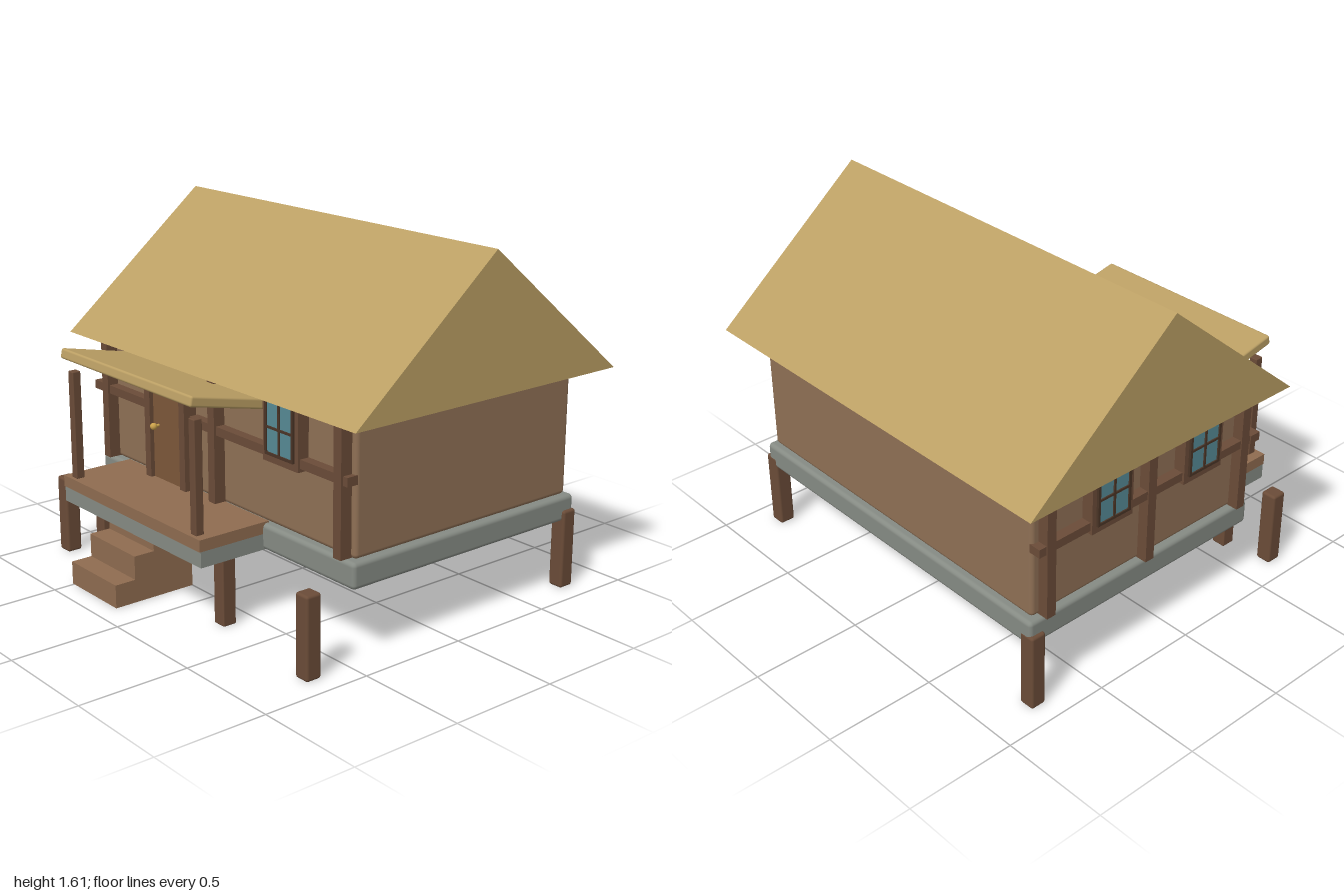
import * as THREE from 'three';
import { RoundedBoxGeometry } from 'three/addons/geometries/RoundedBoxGeometry.js';

const mat = (color) => new THREE.MeshStandardMaterial({ color });

export function createModel() {
  const model = new THREE.Group();
  const M = {
    thatch: mat(0xbb9f64), wall: mat(0x8f7055), timber: mat(0x6b4c38), plank: mat(0x8f6c50),
    stone: mat(0x868b84), door: mat(0x7d5839), glass: mat(0x568a95), sash: mat(0x4a3426), brass: mat(0xc9a04a),
  };

  // Box given by its extents; r > 0 rounds the edges
  function box(name, material, [x0, x1], [y0, y1], [z0, z1], r = 0, parent = model) {
    const w = x1 - x0, h = y1 - y0, d = z1 - z0;
    const geo = r ? new RoundedBoxGeometry(w, h, d, 2, r) : new THREE.BoxGeometry(w, h, d);
    const mesh = new THREE.Mesh(geo, material);
    mesh.name = name;
    mesh.position.set((x0 + x1) / 2, (y0 + y1) / 2, (z0 + z1) / 2);
    parent.add(mesh);
    return mesh;
  }
  const around = (c, w) => [c - w / 2, c + w / 2];

  // House body
  box('foundation', M.stone, [-0.895, 0.89], [0.31, 0.425], [-0.8, 0.475], 0.02);
  box('walls', M.wall, [-0.87, 0.865], [0.425, 1.005], [-0.77, 0.445], 0.02);

  // Gabled roof, a closed prism along x
  const gable = new THREE.Shape([
    new THREE.Vector2(-0.565, 1.003), new THREE.Vector2(0.893, 1.003), new THREE.Vector2(0.16, 1.605),
  ]);
  const roofGeo = new THREE.ExtrudeGeometry(gable, { depth: 1.995, bevelEnabled: false });
  roofGeo.rotateY(Math.PI / 2);
  const roof = new THREE.Mesh(roofGeo, M.thatch);
  roof.name = 'roof';
  roof.position.x = -1;
  model.add(roof);

  // Corner stilts
  for (const x of [-0.873, 0.867])
    for (const z of [0.685, -0.765])
      box('stilt', M.timber, around(x, 0.074), [0, 0.36], around(z, 0.074), 0.012);

  // Porch deck, legs, posts and sloping roof
  box('porchBase', M.stone, [-0.715, 0.32], [0.31, 0.38], [0.44, 0.795]);
  box('porchDeck', M.plank, [-0.715, 0.32], [0.38, 0.432], [0.445, 0.8]);
  for (const x of [-0.652, 0.254]) {
    box('porchLeg', M.timber, around(x, 0.066), [0, 0.31], around(0.628, 0.066), 0.006);
    box('porchPost', M.timber, around(x, 0.04), [0.43, 0.925], around(0.763, 0.04), 0.004);
  }
  const porchRoof = box('porchRoof', M.thatch, [-0.685, 0.29], around(0.968, 0.046), around(0.62, 0.385), 0.01);
  porchRoof.rotation.x = -0.21;

  // Steps
  [[0.105, 0.9], [0.212, 0.8], [0.312, 0.7]].forEach(([h, front], i) =>
    box('step', M.plank, [-0.51, -0.16], [i ? [0, 0.105, 0.212][i] : 0, h], [0.5, front]));

  // Front timber framing
  for (const x of [-0.82, -0.003, 0.817])
    box('frontPost', M.timber, around(x, 0.046), [0.43, 1.003], [0.435, 0.5]);
  for (const span of [[-0.92, -0.49], [-0.17, 0.345], [0.58, 0.865]])
    box('frontRail', M.timber, span, [0.738, 0.777], [0.435, 0.49]);

  // Left-hand gable framing
  for (const z of [-0.71, -0.16, 0.4])
    box('sidePost', M.timber, [-0.92, -0.86], [0.43, 1.003], around(z, 0.046));
  for (const span of [[-0.77, -0.5], [-0.28, 0.02], [0.24, 0.49]])
    box('sideRail', M.timber, [-0.915, -0.86], [0.738, 0.777], span);

  // Door with jambs, lintel and knob
  box('door', M.door, [-0.447, -0.223], [0.43, 0.925], [0.435, 0.49]);
  for (const x of [-0.466, -0.204])
    box('doorJamb', M.timber, around(x, 0.04), [0.43, 0.925], [0.435, 0.51]);
  box('doorLintel', M.timber, [-0.486, -0.184], [0.915, 0.955], [0.435, 0.51]);
  const knob = new THREE.Mesh(new THREE.SphereGeometry(0.016, 16, 12), M.brass);
  knob.name = 'doorKnob';
  knob.position.set(-0.406, 0.68, 0.518);
  model.add(knob);
  const stem = new THREE.Mesh(new THREE.CylinderGeometry(0.007, 0.007, 0.04, 10), M.brass);
  stem.name = 'knobStem';
  stem.rotation.x = Math.PI / 2;
  stem.position.set(-0.406, 0.68, 0.498);
  model.add(stem);

  // Four-pane window, facing +z, with the wall plane at z = 0
  function addWindow(x, z, turn) {
    const g = new THREE.Group();
    g.name = 'window';
    for (const s of [-1, 1]) {
      box('windowJamb', M.timber, around(s * 0.097, 0.03), [0.722, 1.003], [-0.01, 0.055], 0, g);
      box('windowRail', M.timber, [-0.09, 0.09], s < 0 ? [0.722, 0.755] : [0.985, 1.003], [-0.01, 0.055], 0, g);
      box('sashStile', M.sash, around(s * 0.084, 0.012), [0.755, 0.99], [0, 0.066], 0, g);
      box('sashRail', M.sash, [-0.09, 0.09], around(s < 0 ? 0.761 : 0.984, 0.012), [0, 0.066], 0, g);
    }
    box('glass', M.glass, [-0.082, 0.082], [0.76, 0.985], [0, 0.06], 0, g);
    box('mullion', M.sash, around(0, 0.01), [0.76, 0.985], [0, 0.066], 0, g);
    box('glazingBar', M.sash, [-0.082, 0.082], around(0.873, 0.01), [0, 0.066], 0, g);
    g.position.set(x, 0, z);
    g.rotation.y = turn;
    model.add(g);
  }
  addWindow(0.467, 0.445, 0);
  for (const z of [-0.39, 0.13]) addWindow(-0.87, z, -Math.PI / 2);

  return model;
}
